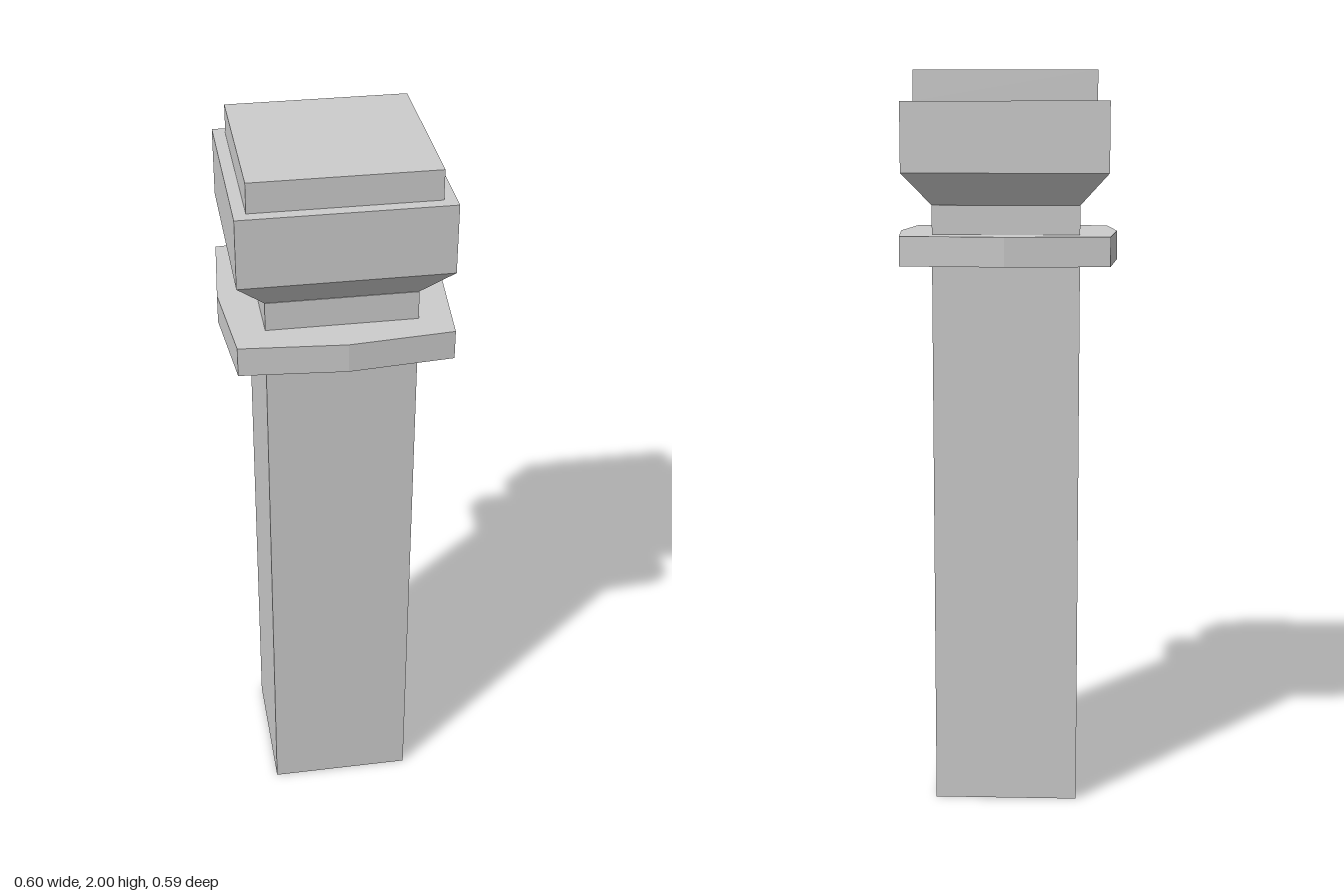
import * as THREE from 'three';

const material = new THREE.MeshStandardMaterial({ color: 0xcccccc, flatShading: true });

function addPart(group, name, geometry) {
  const mesh = new THREE.Mesh(geometry, material);
  mesh.name = name;
  group.add(mesh);
}

// Rectangular block between two heights, given half widths
function block(hx, hz, y0, y1) {
  return new THREE.BoxGeometry(2 * hx, y1 - y0, 2 * hz).translate(0, (y0 + y1) / 2, 0);
}

export function createModel() {
  const group = new THREE.Group();
  group.name = 'pillar';

  addPart(group, 'shaft', block(0.196, 0.195, 0, 1.653));

  // Collar: square slab whose sides bow out to a point at the middle
  const outline = [
    [0.298, 0], [0.275, 0.273], [0, 0.296], [-0.275, 0.273],
    [-0.298, 0], [-0.275, -0.273], [0, -0.296], [0.275, -0.273],
  ].map(([x, z]) => new THREE.Vector2(x, z));
  const collar = new THREE.ExtrudeGeometry(new THREE.Shape(outline), { depth: 0.078, bevelEnabled: false });
  addPart(group, 'collar', collar.rotateX(-Math.PI / 2).translate(0, 1.498, 0));

  // Capital: flared underside, block and inset top slab
  const flare = new THREE.CylinderGeometry(0.271 * Math.SQRT2, 0.196 * Math.SQRT2, 0.085, 4)
    .rotateY(Math.PI / 4)
    .scale(1, 1, 0.267 / 0.271)
    .translate(0, 1.6955, 0);
  addPart(group, 'capitalFlare', flare);
  addPart(group, 'capitalBlock', block(0.271, 0.267, 1.738, 1.921));
  addPart(group, 'topSlab', block(0.239, 0.235, 1.921, 2));

  return group;
}
